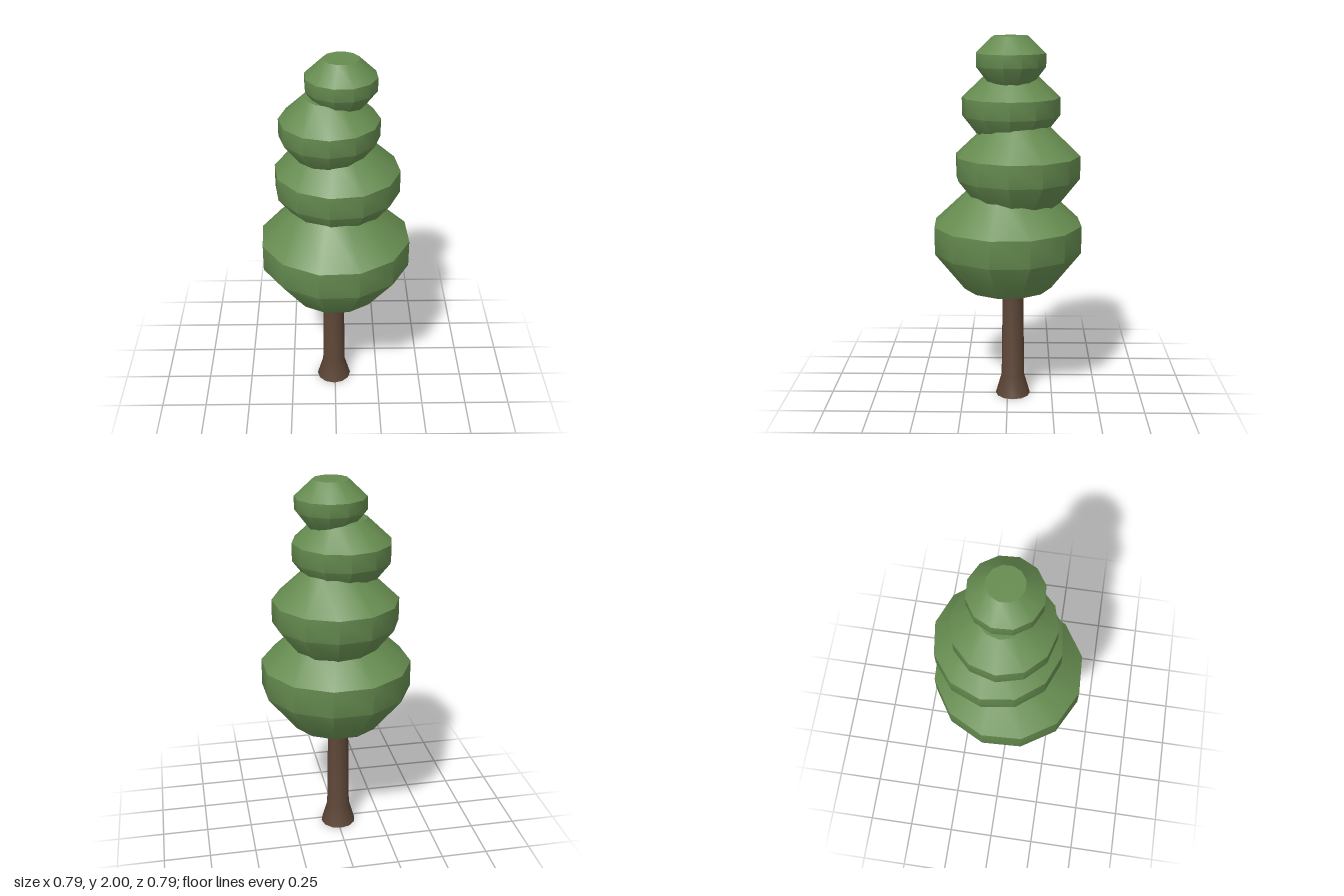
import * as THREE from 'three';
import { toCreasedNormals } from 'three/addons/utils/BufferGeometryUtils.js';

const SIDES = 12;

// Turned solid from [radius, height] pairs, bottom to top
function turned(profile, turnDeg, material, name) {
  const points = profile.map(([r, y]) => new THREE.Vector2(r, y));
  const lathe = new THREE.LatheGeometry(points, SIDES, THREE.MathUtils.degToRad(turnDeg));
  const mesh = new THREE.Mesh(toCreasedNormals(lathe, 0.7), material);
  mesh.name = name;
  return mesh;
}

export function createModel() {
  const leaf = new THREE.MeshStandardMaterial({ color: 0x668c50 });
  leaf.name = 'leafGreen';
  const bark = new THREE.MeshStandardMaterial({ color: 0x5c4536, side: THREE.DoubleSide });
  bark.name = 'barkBrown';

  const tree = new THREE.Group();
  tree.name = 'tree';

  // Trunk with a flared, open foot
  const trunk = turned([[0.097, 0], [0.064, 0.115], [0.056, 0.7]], 0, bark, 'trunk');
  trunk.position.set(-0.007, 0, -0.03);
  tree.add(trunk);

  // One faceted foliage shape, scaled for every tier; its height 0 is the band's upper rim
  const tierProfile = [[0, -0.88], [0.6, -0.88], [1, -0.365], [1, 0], [0.5, 0.47], [0, 0.47]];
  const tiers = [
    { name: 'lowestFoliage', x: 0, y: 1.005, z: 0, radius: 0.406, turn: -12.4 },
    { name: 'lowerFoliage', x: 0.012, y: 1.38, z: -0.054, radius: 0.334, turn: -7.4 },
    { name: 'upperFoliage', x: -0.029, y: 1.68, z: -0.018, radius: 0.261, turn: -0.5 },
    { name: 'topFoliage', x: 0.029, y: 1.913, z: -0.017, radius: 0.186, turn: -11.7 },
  ];
  for (const t of tiers) {
    const profile = tierProfile.map(([r, y]) => [r * t.radius, y * t.radius]);
    const tier = turned(profile, t.turn, leaf, t.name);
    tier.position.set(t.x, t.y, t.z);
    tree.add(tier);
  }

  return tree;
}
